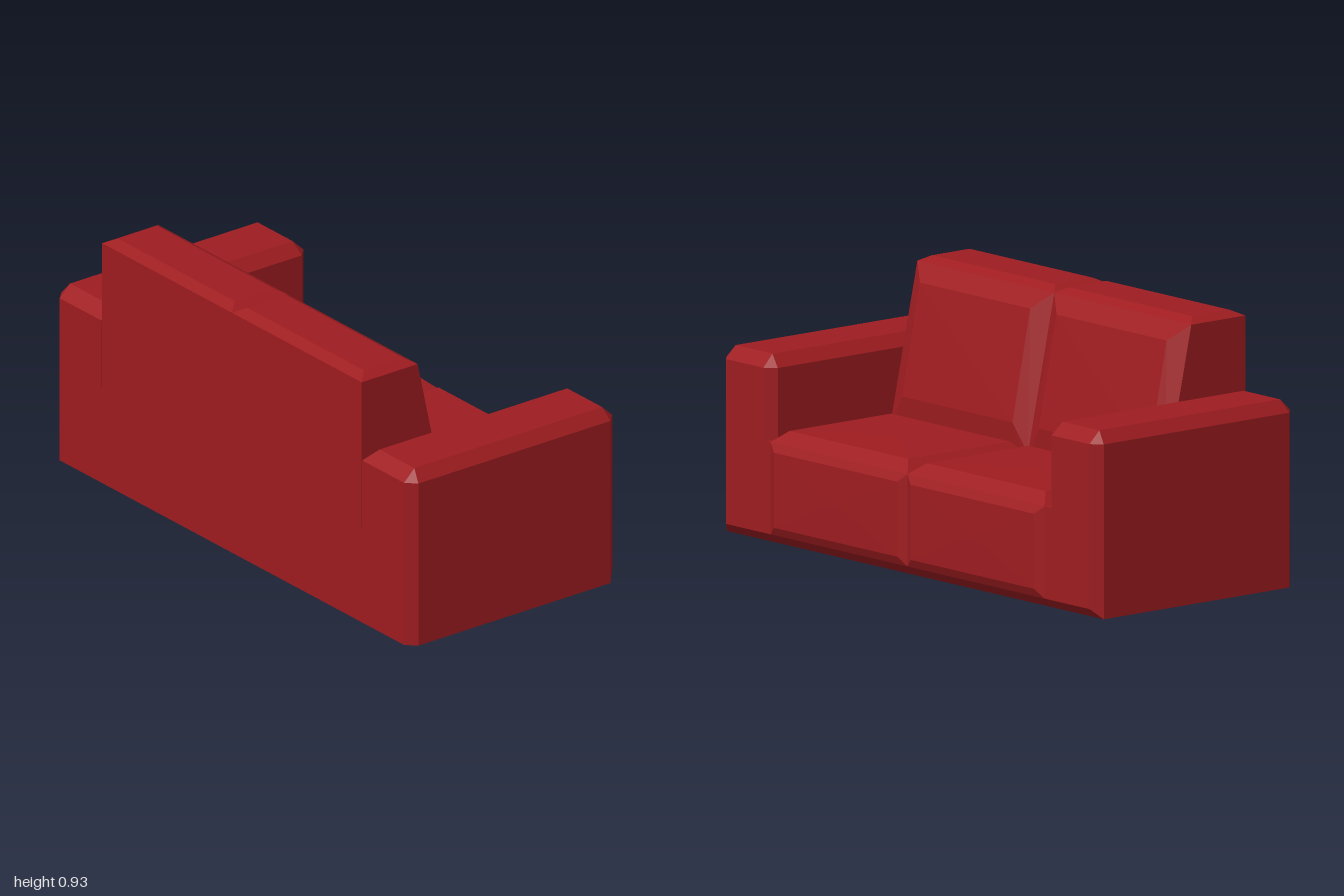
import * as THREE from 'three';
import { ConvexGeometry } from 'three/addons/geometries/ConvexGeometry.js';

const upholstery = new THREE.MeshStandardMaterial({ color: 0x9e1c20, flatShading: true });
const BACK = -0.465, FRONT = 0.445, INNER = 0.73;

// Faceted solid spanned by [x, y, z] corners, optionally mirrored to the other end
function solid(name, corners, mirror = 1) {
  const points = corners.map(([x, y, z]) => new THREE.Vector3(x, y, z * mirror));
  const mesh = new THREE.Mesh(new ConvexGeometry(points), upholstery);
  mesh.name = name;
  return mesh;
}

// Repeats an [x, y] profile at both z positions
const span = (profile, z0, z1) => profile.flatMap(([x, y]) => [[x, y, z0], [x, y, z1]]);

// Plinth with a bevelled lower front edge
function base() {
  return solid('base', span([[BACK, 0], [0.41, 0], [FRONT, 0.035], [FRONT, 0.36], [BACK, 0.36]], -0.765, 0.765));
}

// Armrest with chamfered top and upright corners
function arm(name, mirror) {
  const outline = (y) => [
    [BACK, y, INNER], [BACK, y, 0.965], [-0.43, y, 1], [0.41, y, 1],
    [FRONT, y, 0.965], [FRONT, y, 0.765], [0.41, y, INNER],
  ];
  return solid(name, [
    [BACK, 0, INNER], [BACK, 0, 0.965], [-0.43, 0, 1], [0.41, 0, 1], [0.41, 0, INNER],
    ...outline(0.035),
    ...outline(0.615),
    ...span([[-0.42, 0.658], [0.4, 0.658]], 0.77, 0.965),
  ], mirror);
}

// Seat cushion: bevelled panels on top and front, each slightly crowned
function seat(name, mirror) {
  return solid(name, [
    ...span([[-0.1, 0.36], [FRONT, 0.36], [FRONT, 0.035], [-0.1, 0.035]], 0, 0.727),
    ...span([[-0.06, 0.4], [0.4, 0.4]], 0.05, 0.68),
    ...span([[0.462, 0.33], [0.462, 0.066]], 0.035, 0.69),
    [0.17, 0.404, 0.365], [0.465, 0.2, 0.365],
  ], mirror);
}

// Back cushion: upright rear, leaning front panel, bevelled top
function backrest(name, mirror) {
  return solid(name, [
    ...span([[BACK, 0.3], [BACK, 0.91], [-0.22, 0.91], [-0.1, 0.36], [-0.1, 0.3]], 0, 0.727),
    ...span([[-0.425, 0.93], [-0.255, 0.93]], 0.035, 0.69),
    ...span([[-0.17, 0.85], [-0.09, 0.46]], 0.07, 0.655),
    [-0.126, 0.655, 0.365],
  ], mirror);
}

export function createModel() {
  const sofa = new THREE.Group();
  sofa.name = 'sofa';
  sofa.add(base());
  for (const [side, mirror] of [['near', 1], ['far', -1]]) {
    sofa.add(
      arm(side + 'Armrest', mirror),
      seat(side + 'SeatCushion', mirror),
      backrest(side + 'BackCushion', mirror),
    );
  }
  return sofa;
}
